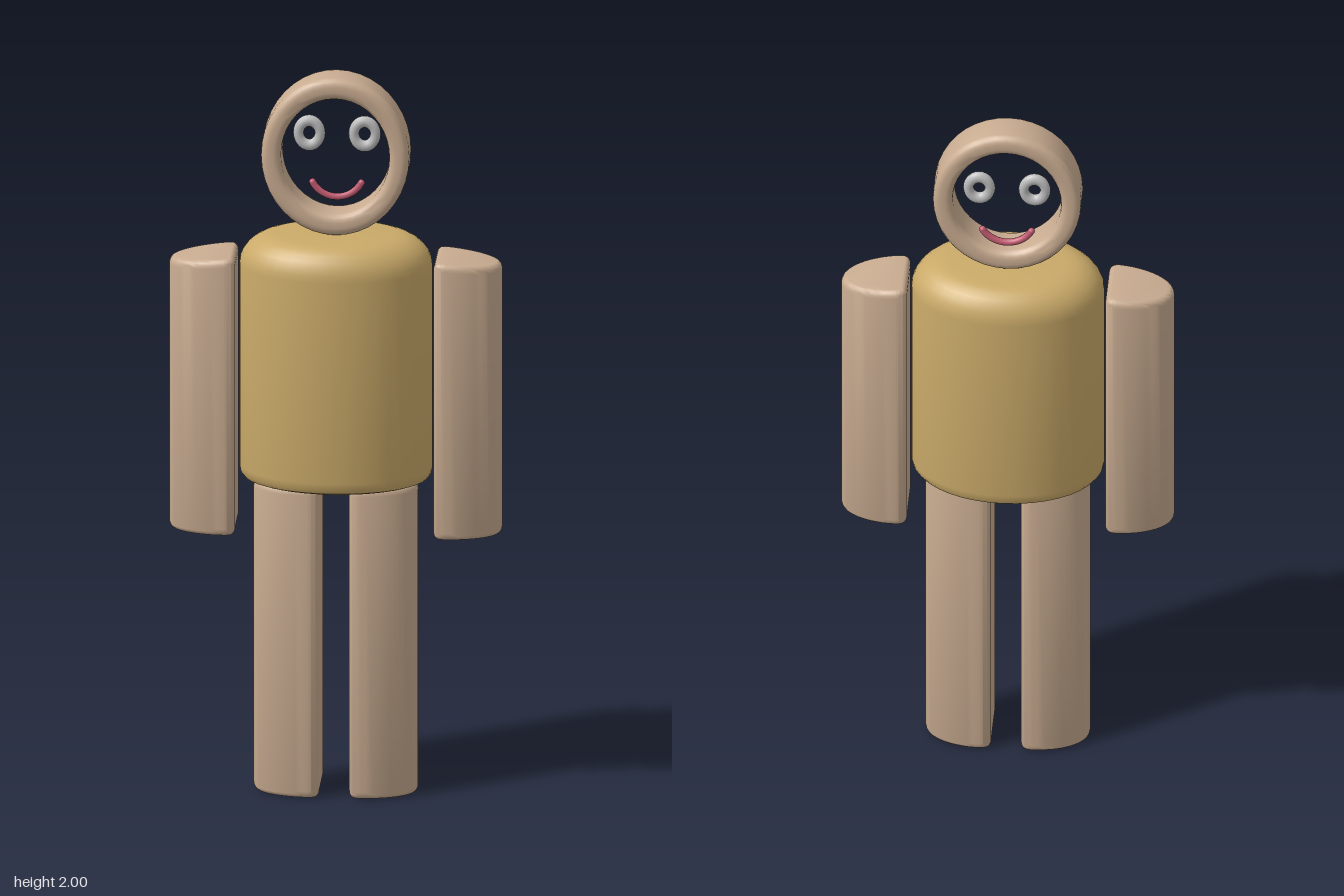
import * as THREE from 'three';
import { toCreasedNormals } from 'three/addons/utils/BufferGeometryUtils.js';

const mat = (name, color, extra = {}) => Object.assign(new THREE.MeshStandardMaterial({ color, ...extra }), { name });

function addMesh(parent, name, geometry, material) {
  const mesh = new THREE.Mesh(geometry, material);
  mesh.name = name;
  parent.add(mesh);
  return mesh;
}

// Upright limb with a half-ellipse section: flat inside (-x), rounded outside (+x)
function limbGeometry(height, slope) {
  const bevel = 0.014, rise = 0.02;
  const shape = new THREE.Shape();
  shape.moveTo(-0.09, -0.07);
  shape.quadraticCurveTo(-0.088, -0.09, -0.06, -0.091);
  shape.absellipse(-0.06, 0, 0.15, 0.091, -Math.PI / 2, Math.PI / 2);
  shape.quadraticCurveTo(-0.088, 0.09, -0.09, 0.07);
  shape.closePath();
  const geo = new THREE.ExtrudeGeometry(shape, {
    depth: height - 2 * rise, steps: 1, curveSegments: 14,
    bevelEnabled: true, bevelSize: bevel, bevelOffset: -bevel, bevelThickness: rise, bevelSegments: 4,
  });
  geo.translate(0, 0, rise);
  geo.rotateX(-Math.PI / 2);
  // Let the upper end fall away towards the outside
  const p = geo.attributes.position;
  for (let i = 0; i < p.count; i++) {
    if (p.getY(i) > height / 2) p.setY(i, p.getY(i) - slope * Math.max(0, p.getX(i) + 0.07));
  }
  return toCreasedNormals(geo, 0.6);
}

// Rounded-rectangle ring section, revolved and stretched into an oval hoop
function hoopGeometry() {
  const inner = 0.145, outer = 0.198, half = 0.055, r = 0.02;
  const points = [];
  const corners = [[outer - r, -half + r, -90], [outer - r, half - r, 0], [inner + r, half - r, 90], [inner + r, -half + r, 180]];
  for (const [cx, cy, start] of corners) {
    for (let k = 0; k <= 4; k++) {
      const a = THREE.MathUtils.degToRad(start + k * 22.5);
      points.push(new THREE.Vector2(cx + r * Math.cos(a), cy + r * Math.sin(a)));
    }
  }
  points.push(points[0].clone());
  const geo = new THREE.LatheGeometry(points, 40);
  geo.rotateX(Math.PI / 2);
  geo.scale(1, 1.11, 1);
  return toCreasedNormals(geo, 0.6);
}

// Oval body with a soft shoulder and a small lower bevel
function torsoGeometry() {
  const profile = [[0, 0.875], [0.232, 0.875], [0.246, 0.88], [0.255, 0.892], [0.258, 0.91], [0.258, 1.47]];
  for (let k = 1; k <= 7; k++) {
    const a = (k / 7) * Math.PI / 2;
    profile.push([0.158 + 0.1 * Math.cos(a), 1.47 + 0.085 * Math.sin(a)]);
  }
  profile.push([0, 1.56]);
  const geo = new THREE.LatheGeometry(profile.map(([x, y]) => new THREE.Vector2(x, y)), 40);
  geo.scale(1, 1, 0.183 / 0.258);
  return toCreasedNormals(geo, 0.6);
}

export function createModel() {
  const model = new THREE.Group();
  model.name = 'figure';
  const skin = mat('skin', 0xc9ac91);
  const shirt = mat('shirt', 0xcaaa69);
  const eyeGrey = mat('eyeGrey', 0xbcbcbc);
  const lip = mat('lip', 0xc25a70);

  addMesh(model, 'torso', torsoGeometry(), shirt);

  // Arms and legs, turned half round for the other side
  const arm = limbGeometry(0.772, 0.1);
  const leg = limbGeometry(0.867, 0);
  for (const [side, s] of [['left', 1], ['right', -1]]) {
    const a = addMesh(model, side + 'Arm', arm, skin);
    a.position.set(s * 0.355, 0.728, 0);
    const l = addMesh(model, side + 'Leg', leg, skin);
    l.position.set(s * 0.13, 0, 0);
    if (s < 0) a.rotation.y = l.rotation.y = Math.PI;
  }

  // Open oval head
  const head = new THREE.Group();
  head.name = 'head';
  head.position.set(0, 1.78, -0.002);
  model.add(head);
  addMesh(head, 'headHoop', hoopGeometry(), skin);

  // Ring eyes
  const eye = new THREE.TorusGeometry(0.029, 0.014, 12, 28);
  eye.scale(1, 1.17, 1);
  for (const [side, s] of [['left', 1], ['right', -1]]) {
    addMesh(head, side + 'Eye', eye, eyeGrey).position.set(s * 0.074, 0.042, -0.036);
  }

  // Smile: a thin arc with rounded ends
  const smile = new THREE.Group();
  smile.name = 'smile';
  smile.position.set(0, -0.062, -0.036);
  head.add(smile);
  const span = 2.2, radius = 0.073, tube = 0.0095;
  const arc = new THREE.TorusGeometry(radius, tube, 10, 24, span);
  arc.rotateZ(-Math.PI / 2 - span / 2);
  addMesh(smile, 'mouth', arc, lip);
  for (const s of [1, -1]) {
    addMesh(smile, 'mouthCorner', new THREE.SphereGeometry(tube, 10, 8), lip)
      .position.set(s * radius * Math.sin(span / 2), -radius * Math.cos(span / 2), 0);
  }

  return model;
}
